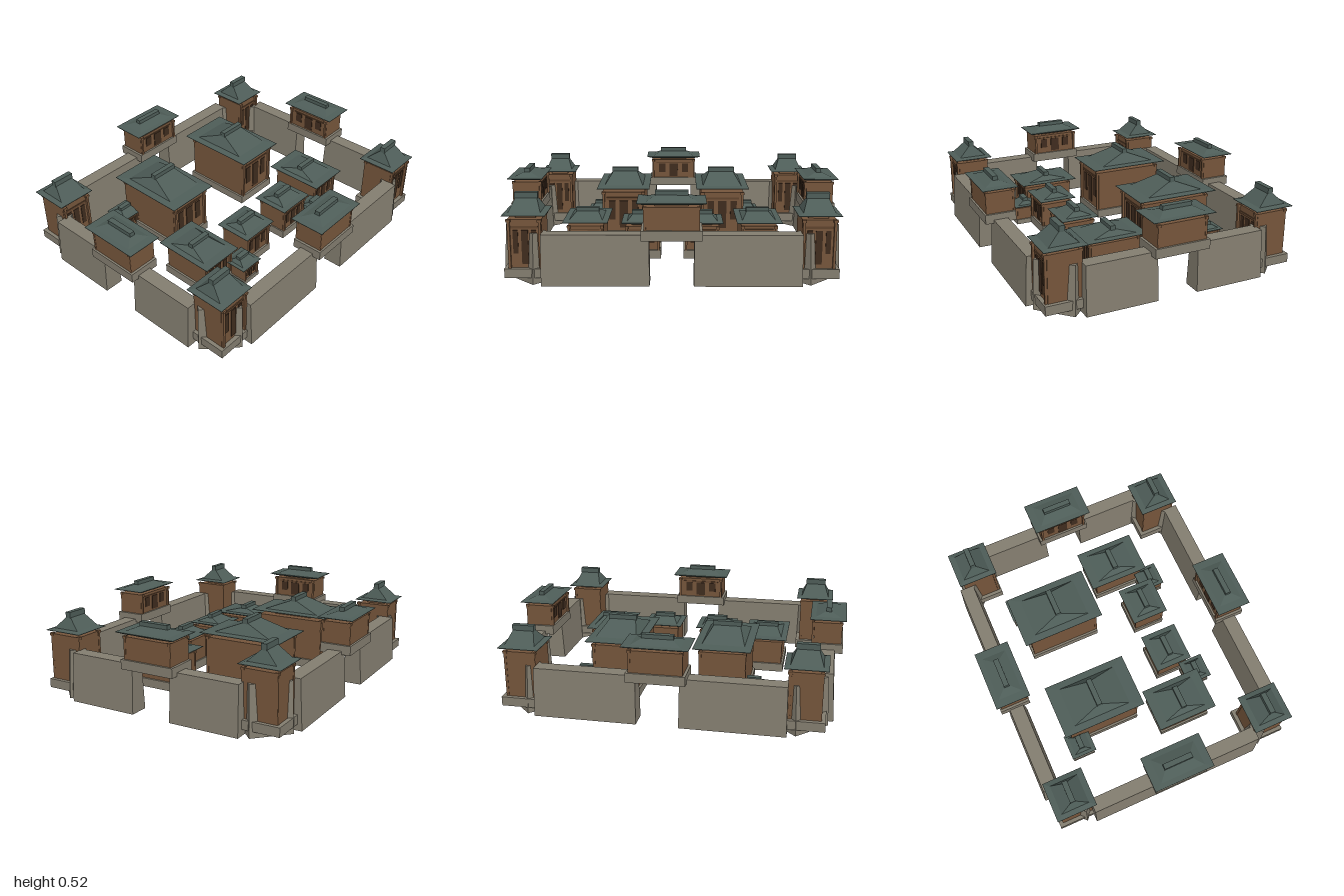
import * as THREE from 'three';

const mat = (name, color, side = THREE.FrontSide) => {
  const m = new THREE.MeshStandardMaterial({ color, side });
  m.name = name;
  return m;
};

// Stacks rectangles [halfX, halfZ, y] into a flat-faced solid, optionally open below
function loft(rings, closedBelow = true) {
  const pos = [];
  const corners = ([x, z, y]) => [[-x, y, z], [x, y, z], [x, y, -z], [-x, y, -z]];
  const quad = (a, b, c, d) => pos.push(...a, ...b, ...c, ...a, ...c, ...d);
  for (let i = 0; i < rings.length - 1; i++) {
    const lo = corners(rings[i]), hi = corners(rings[i + 1]);
    for (let k = 0; k < 4; k++) {
      const n = (k + 1) % 4;
      quad(lo[k], lo[n], hi[n], hi[k]);
    }
  }
  const b = corners(rings[0]), t = corners(rings[rings.length - 1]);
  if (closedBelow) quad(b[3], b[2], b[1], b[0]);
  quad(t[0], t[1], t[2], t[3]);
  const g = new THREE.BufferGeometry();
  g.setAttribute('position', new THREE.Float32BufferAttribute(pos, 3));
  g.computeVertexNormals();
  return g;
}

export function createModel() {
  // Stone parts are hollow shells, open underneath
  const stone = mat('stone', 0x837d6f, THREE.DoubleSide);
  const wood = mat('wood', 0x75553b);
  const darkWood = mat('dark wood', 0x5f432d);
  const opening = mat('window shadow', 0x3f2c1e);
  const tile = mat('roof tile', 0x4e5d58);

  const model = new THREE.Group();
  model.name = 'walledCompound';

  const add = (parent, name, geo, material, x = 0, y = 0, z = 0) => {
    const m = new THREE.Mesh(geo, material);
    m.name = name;
    m.position.set(x, y, z);
    parent.add(m);
    return m;
  };
  // Box spanning y0..y1 with half sizes hx, hz
  const block = (parent, name, material, hx, hz, y0, y1, x = 0, z = 0) =>
    add(parent, name, new THREE.BoxGeometry(2 * hx, y1 - y0, 2 * hz), material, x, (y0 + y1) / 2, z);

  // Pavilion: plinth, body, corner posts, door and windows on local +z, hipped roof
  function building(name, s, x, z, turn = 0) {
    const g = new THREE.Group();
    g.name = name;
    g.position.set(x, 0, z);
    g.rotation.y = turn;
    model.add(g);

    const [bx, bz] = s.body, [rx, rz] = s.roof, [px, pz] = s.plinth;
    const y0 = s.floor, y1 = s.bodyTop, h = y1 - y0;
    add(g, 'plinth', loft([[px, pz, s.bottom], [px, pz, y0]], false), stone);
    block(g, 'body', wood, bx, bz, y0, y1);
    block(g, 'roofSupport', wood, bx * 0.6, bz * 0.6, y1, s.soffit);

    // Front posts stand forward of the wall, rear ones clasp the corners
    const pw = s.post;
    for (const sx of [-1, 1]) for (const sz of [-1, 1]) {
      const cx = sx * (bx - pw * 0.7), cz = sz > 0 ? bz + pw * 0.7 : -bz + pw * 0.4;
      block(g, 'post', wood, pw * 0.6, pw * 0.6, y0, y1, cx, cz);
      block(g, 'postCap', wood, pw, pw * 0.9, y1 - 0.012, y1 + 0.003, cx, cz);
    }

    block(g, 'lintel', darkWood, bx * 0.8, 0.003, y0 + h * 0.82, y0 + h * 0.87, 0, bz + 0.002);
    block(g, 'door', opening, bx * 0.2, 0.003, y0 + h * 0.08, y0 + h * 0.78, 0, bz + 0.001);
    for (const sx of [-1, 1])
      block(g, 'window', opening, bx * 0.15, 0.003, y0 + h * 0.3, y0 + h * 0.78, sx * bx * 0.54, bz + 0.001);

    // Roof: soffit, thin wide eave, shallow skirt, steep crown, ridge beam
    const ridge = rx * s.ridge;
    add(g, 'roof', loft([
      [rx * 0.8, rz * 0.78, s.soffit],
      [rx, rz, s.eave - 0.003],
      [rx, rz, s.eave],
      [rx * 0.74, rz * 0.7, s.mid],
      [ridge * 0.92, 0.012, s.top],
    ]), tile);
    block(g, 'ridge', tile, ridge, 0.016, s.top - 0.006, s.ridgeTop);
  }

  const gate = {
    body: [0.15, 0.08], plinth: [0.165, 0.092], roof: [0.185, 0.105], bottom: 0.265, floor: 0.32,
    bodyTop: 0.447, soffit: 0.46, eave: 0.474, mid: 0.477, top: 0.5, ridgeTop: 0.522, ridge: 0.48, post: 0.01,
  };
  const tower = {
    body: [0.093, 0.096], plinth: [0.115, 0.12], roof: [0.118, 0.121], bottom: 0.035, floor: 0.088,
    bodyTop: 0.36, soffit: 0.379, eave: 0.386, mid: 0.395, top: 0.464, ridgeTop: 0.492, ridge: 0.54, post: 0.012,
  };
  const hall = {
    body: [0.135, 0.213], plinth: [0.148, 0.226], roof: [0.166, 0.255], bottom: 0.035, floor: 0.086,
    bodyTop: 0.34, soffit: 0.363, eave: 0.37, mid: 0.375, top: 0.44, ridgeTop: 0.465, ridge: 0.51, post: 0.012,
  };
  const low = {
    bottom: 0.035, floor: 0.086, bodyTop: 0.228, soffit: 0.241, eave: 0.254, mid: 0.257,
    top: 0.287, ridgeTop: 0.308, ridge: 0.52, post: 0.01,
  };
  const longHouse = { ...low, body: [0.105, 0.15], plinth: [0.117, 0.162], roof: [0.133, 0.187] };
  const house = { ...low, body: [0.1, 0.09], plinth: [0.108, 0.102], roof: [0.123, 0.115] };
  const shed = {
    body: [0.058, 0.062], plinth: [0.066, 0.07], roof: [0.077, 0.077], bottom: 0.035, floor: 0.065,
    bodyTop: 0.14, soffit: 0.147, eave: 0.155, mid: 0.158, top: 0.184, ridgeTop: 0.2, ridge: 0.52, post: 0.009,
  };

  // Gatehouses bridge the wall gaps and face the courtyard
  building('frontGatehouse', gate, 0, 0.725, Math.PI);
  building('backGatehouse', gate, 0, -0.728, 0);
  building('leftGatehouse', gate, 0.895, -0.003, -Math.PI / 2);
  building('rightGatehouse', gate, -0.895, -0.003, Math.PI / 2);

  for (const sx of [-1, 1]) {
    const side = sx > 0 ? 'left' : 'right';
    building(side + 'Hall', hall, sx * 0.315, -0.27);
    building(side + 'LongHouse', longHouse, sx * 0.512, 0.21);
    building(side + 'House', house, sx * 0.175, 0.281);
    building(side + 'FrontShed', shed, sx * 0.353, 0.407);
    building(side + 'BackShed', shed, sx * 0.497, -0.452);

    for (const sz of [-1, 1]) {
      building(side + (sz > 0 ? 'Front' : 'Back') + 'Tower', tower, sx * 0.798, sz > 0 ? 0.63 : -0.636);

      // Battered walls between gates and corners, with a diagonal piece at each corner
      add(model, 'longWall', loft([[0.295, 0.058, 0], [0.292, 0.043, 0.285]], false), stone,
        sx * 0.415, 0, sz * 0.725);
      add(model, 'sideWall', loft([[0.057, 0.21, 0], [0.042, 0.207, 0.285]], false), stone,
        sx * 0.898, 0, sz * 0.33);
      add(model, 'cornerWall', loft([[0.12, 0.06, 0], [0.116, 0.045, 0.285]], false), stone,
        sx * 0.8, 0, sz * 0.633).rotation.y = Math.atan2(sx, sz);
    }
  }
  return model;
}
